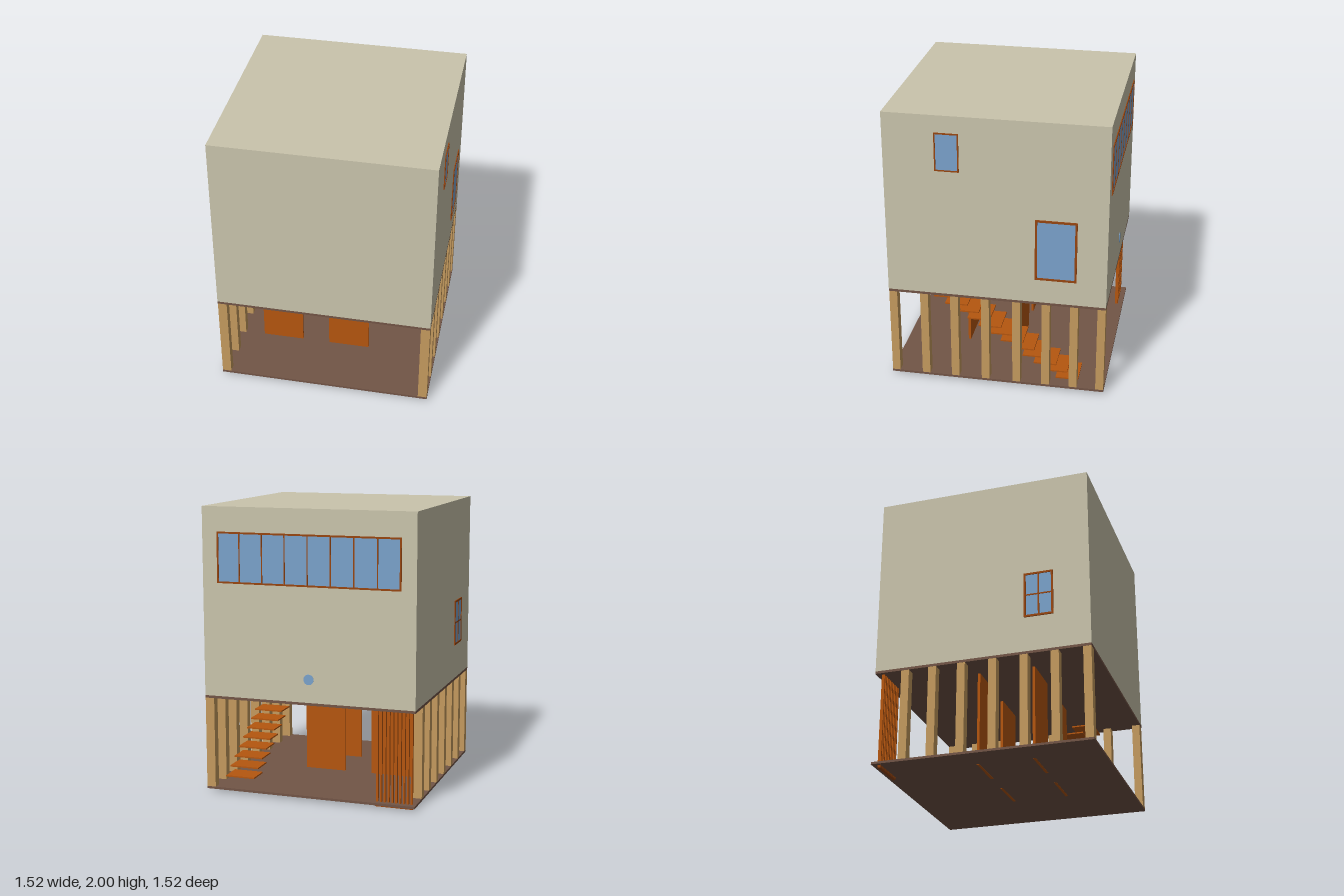
import * as THREE from 'three';

const mat = (name, color) => {
  const m = new THREE.MeshStandardMaterial({ color });
  m.name = name;
  return m;
};

export function createModel() {
  const wall = mat('wall beige', 0xc9c4ac);
  const slab = mat('slab brown', 0x725546);
  const wood = mat('post wood', 0xc49a5e);
  const orange = mat('orange timber', 0xb5560f);
  const trim = mat('window trim', 0x974510);
  const glass = mat('glass blue', 0x7aa2cb);
  const house = new THREE.Group();
  house.name = 'stiltHouse';

  // Box given by its minimum and maximum on each axis
  const box = (name, m, [x0, x1], [y0, y1], [z0, z1], parent = house) => {
    const mesh = new THREE.Mesh(new THREE.BoxGeometry(x1 - x0, y1 - y0, z1 - z0), m);
    mesh.position.set((x0 + x1) / 2, (y0 + y1) / 2, (z0 + z1) / 2);
    mesh.name = name;
    parent.add(mesh);
    return mesh;
  };

  // Upper storey and the two slabs
  const X = [-0.757, 0.753], Z = [-0.757, 0.76];
  box('upperStorey', wall, X, [0.69, 2], Z);
  box('ceilingSlab', slab, X, [0.672, 0.69], Z);
  box('floorSlab', slab, X, [0.018, 0.034], Z);

  // Posts along both sides; the slatted screen takes the back corner at -x
  const postZ = [0.73, 0.51, 0.297, 0.08, -0.14, -0.345, -0.54, -0.728];
  postZ.forEach((z, i) => {
    const span = [z - 0.028, z + 0.028];
    box('leftPost', wood, [0.688, 0.752], [0.03, 0.675], span);
    if (i < postZ.length - 1) box('rightPost', wood, [-0.756, -0.692], [0.03, 0.675], span);
  });

  // Four partition panels reaching through the floor
  for (const z of [0.305, -0.082])
    for (const x of [-0.55, -0.05])
      box('partitionPanel', orange, [x, x + 0.3], [0.016, 0.675], [z - 0.009, z + 0.009]);
  box('panelOrnament', glass, [0.06, 0.11], [0.53, 0.585], [-0.11, -0.09]);

  // Slatted screen
  for (let i = 0; i < 10; i++) {
    const x = -0.725 + i * 0.0268;
    box('screenSlat', orange, [x - 0.006, x + 0.006], [0.01, 0.675], [-0.72, -0.698]);
  }
  box('screenRail', trim, [-0.733, -0.47], [0, 0.018], [-0.72, -0.698]);

  // Floating stair treads
  for (let i = 0; i < 12; i++) {
    const y = 0.06 + i * 0.0518, z = -0.57 + i * 0.0786;
    box('stairTread', orange, [0.475, 0.69], [y - 0.005, y + 0.005], [z, z + 0.16]);
  }

  // Window facing +z in its own frame: glass, border and glazing bars
  const makeWindow = (name, w, h, border, cols, rows, bar) => {
    const g = new THREE.Group();
    g.name = name;
    const a = w / 2, b = h / 2, depth = [0, 0.007];
    box('pane', glass, [-a + 0.002, a - 0.002], [-b + 0.002, b - 0.002], [0, 0.003], g);
    for (const s of [-1, 1]) {
      const u = s * (a - border / 2), v = s * (b - border / 2);
      box('frameSide', trim, [u - border / 2, u + border / 2], [-b, b], depth, g);
      box('frameRail', trim, [-a + border, a - border], [v - border / 2, v + border / 2], depth, g);
    }
    for (let i = 1; i < cols; i++) {
      const u = -a + (w * i) / cols;
      box('mullion', trim, [u - bar / 2, u + bar / 2], [-b + border, b - border], [0, 0.006], g);
    }
    for (let i = 1; i < rows; i++) {
      const v = -b + (h * i) / rows;
      box('crossBar', trim, [-a + border, a - border], [v - bar / 2, v + bar / 2], [0, 0.005], g);
    }
    house.add(g);
    return g;
  };
  const place = (g, x, y, z, turn) => {
    g.position.set(x, y, z);
    g.rotation.y = turn;
  };
  place(makeWindow('largeSideWindow', 0.285, 0.445, 0.015, 1, 1, 0), 0.753, 1.087, -0.41, Math.PI / 2);
  place(makeWindow('smallSideWindow', 0.165, 0.27, 0.009, 1, 1, 0), 0.753, 1.745, 0.325, Math.PI / 2);
  place(makeWindow('crossedWindow', 0.205, 0.33, 0.014, 2, 2, 0.01), -0.757, 1.105, 0.405, -Math.PI / 2);
  place(makeWindow('ribbonWindow', 1.3, 0.35, 0.012, 8, 1, 0.008), -0.005, 1.655, -0.757, Math.PI);

  // Round porthole on the back wall
  const porthole = new THREE.Mesh(new THREE.CylinderGeometry(0.036, 0.036, 0.006, 24), glass);
  porthole.name = 'porthole';
  porthole.rotation.x = Math.PI / 2;
  porthole.position.set(-0.01, 0.85, -0.758);
  house.add(porthole);

  return house;
}
